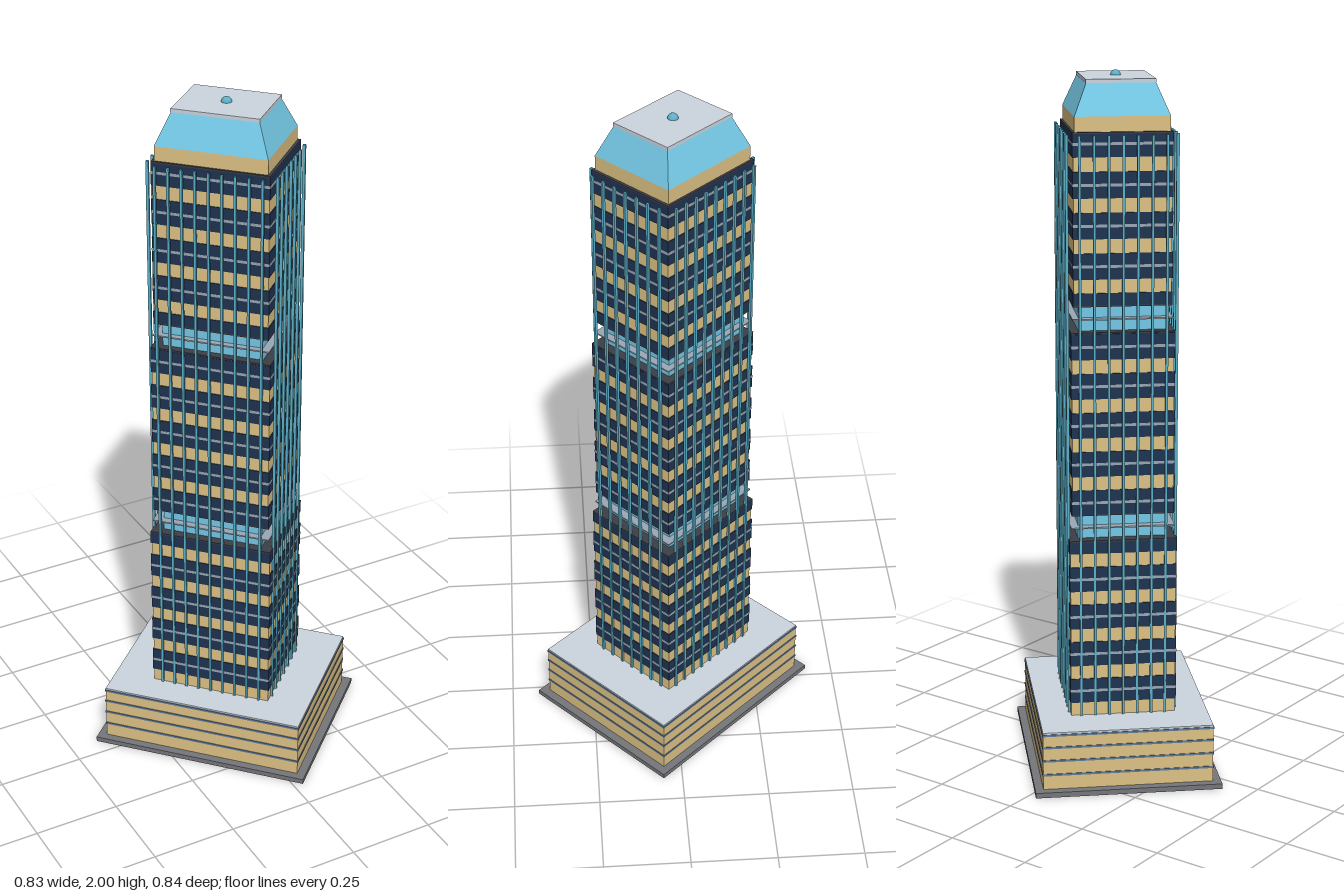
import * as THREE from 'three';

export function createModel() {
  const mat = (name, color) => {
    const m = new THREE.MeshStandardMaterial({ color });
    m.name = name;
    return m;
  };
  const stone = mat('tan stone', 0xdec284);
  const darkGlass = mat('dark glass', 0x1f3350);
  const blueGlass = mat('blue glass', 0x74c8e6);
  const finBlue = mat('fin teal', 0x5cb0c9);
  const roofGrey = mat('roof grey', 0xccd5df);
  const slabGrey = mat('slab grey', 0x9aa7b5);
  const paving = mat('paving grey', 0x75767a);
  const charcoal = mat('charcoal', 0x3c3e46);
  const stripBlue = mat('window strip blue', 0x5f7a9a);

  const model = new THREE.Group();
  model.name = 'tower';
  const building = new THREE.Group();
  building.name = 'building';
  // The plan sits diagonally: the long side runs along local x
  building.rotation.y = -0.8186;
  model.add(building);

  // Box from y0 up to y1
  function block(name, material, w, d, y0, y1, x = 0, z = 0, parent = building) {
    const mesh = new THREE.Mesh(new THREE.BoxGeometry(w, y1 - y0, d), material);
    mesh.position.set(x, (y0 + y1) / 2, z);
    mesh.name = name;
    parent.add(mesh);
    return mesh;
  }

  // Base plate and podium with window strips
  block('basePlate', paving, 0.65, 0.532, 0, 0.015);
  block('podium', stone, 0.6, 0.485, 0.015, 0.18);
  block('podiumRoof', roofGrey, 0.6, 0.485, 0.18, 0.185);
  for (const y of [0.058, 0.1, 0.14, 0.177]) {
    block('podiumWindowStrip', stripBlue, 0.604, 0.489, y - 0.003, y + 0.003);
  }

  // Stepped sections; each glass band spans y0 to y1, with a slab line between its two floors
  const floor = 0.0371;
  const pairLine = (k) => 0.204 + (k + 0.5) * 3 * floor;
  const sections = [
    { w: 0.362, d: 0.304, y0: 0.185, y1: 0.705, pairs: [0, 1, 2, 3], single: [0.669, 0.703] },
    { w: 0.346, d: 0.289, y0: 0.780, y1: 1.300, pairs: [5, 6, 7, 8, 9] },
    { w: 0.331, d: 0.275, y0: 1.374, y1: 1.847, pairs: [11, 12, 13, 14], single: [1.376, 1.410] },
  ];

  sections.forEach(({ w, d, y0, y1, pairs, single }, i) => {
    const group = new THREE.Group();
    group.name = 'towerSection' + (i + 1);
    building.add(group);
    const band = (a, b) => block('glassFloor', darkGlass, w, d, a, Math.min(b, y1 - 0.002), 0, 0, group);

    block('stoneCore', stone, w - 0.005, d - 0.005, y0, y1 - 0.002, 0, 0, group);
    for (const k of pairs) {
      const y = pairLine(k);
      block('floorSlab', slabGrey, w + 0.001, d + 0.001, y - 0.004, y + 0.004, 0, 0, group);
      band(y - floor + 0.001, y - 0.004);
      band(y + 0.004, y + floor - 0.001);
    }
    if (single) band(...single);
    block('sectionCap', charcoal, w, d, y1 - 0.002, y1 + 0.002, 0, 0, group);

    // Recessed service floor with a thin slab half way up
    const next = sections[i + 1];
    if (next) {
      const mid = (y1 + next.y0) / 2;
      block('serviceCore', blueGlass, 0.298 - i * 0.008, 0.25 - i * 0.008, y1, next.y0, 0, 0, group);
      block('serviceSlab', slabGrey, next.w + 0.004, next.d + 0.004, mid - 0.002, mid + 0.002, 0, 0, group);
      block('soffit', charcoal, next.w, next.d, next.y0 - 0.002, next.y0 + 0.002, 0, 0, group);
    }
  });

  // Straight upright fins running the whole height of the tower
  const finBottom = 0.185, finTop = 1.842;
  for (const s of [-1, 1]) {
    for (let k = -4; k <= 4; k++) {
      block('longSideFin', finBlue, 0.007, 0.008, finBottom, finTop, k * 0.0375, s * 0.152);
    }
    for (let k = -3; k <= 3; k++) {
      block('shortSideFin', finBlue, 0.008, 0.007, finBottom, finTop, s * 0.181, k * 0.04);
    }
  }

  // Cornice and sloping glass crown
  block('cornice', stone, 0.315, 0.262, 1.847, 1.89);
  const crown = block('crown', blueGlass, 0.315, 0.262, 1.89, 1.976);
  const pos = crown.geometry.attributes.position;
  for (let i = 0; i < pos.count; i++) {
    if (pos.getY(i) > 0) {
      pos.setX(i, Math.sign(pos.getX(i)) * 0.122);
      pos.setZ(i, Math.sign(pos.getZ(i)) * 0.095);
    }
  }
  crown.geometry.computeVertexNormals();
  block('crownRoof', roofGrey, 0.246, 0.192, 1.976, 1.986);

  // Finial
  const finial = new THREE.Mesh(new THREE.SphereGeometry(0.015, 16, 10), finBlue);
  finial.position.y = 1.985;
  finial.name = 'finial';
  building.add(finial);

  return model;
}
